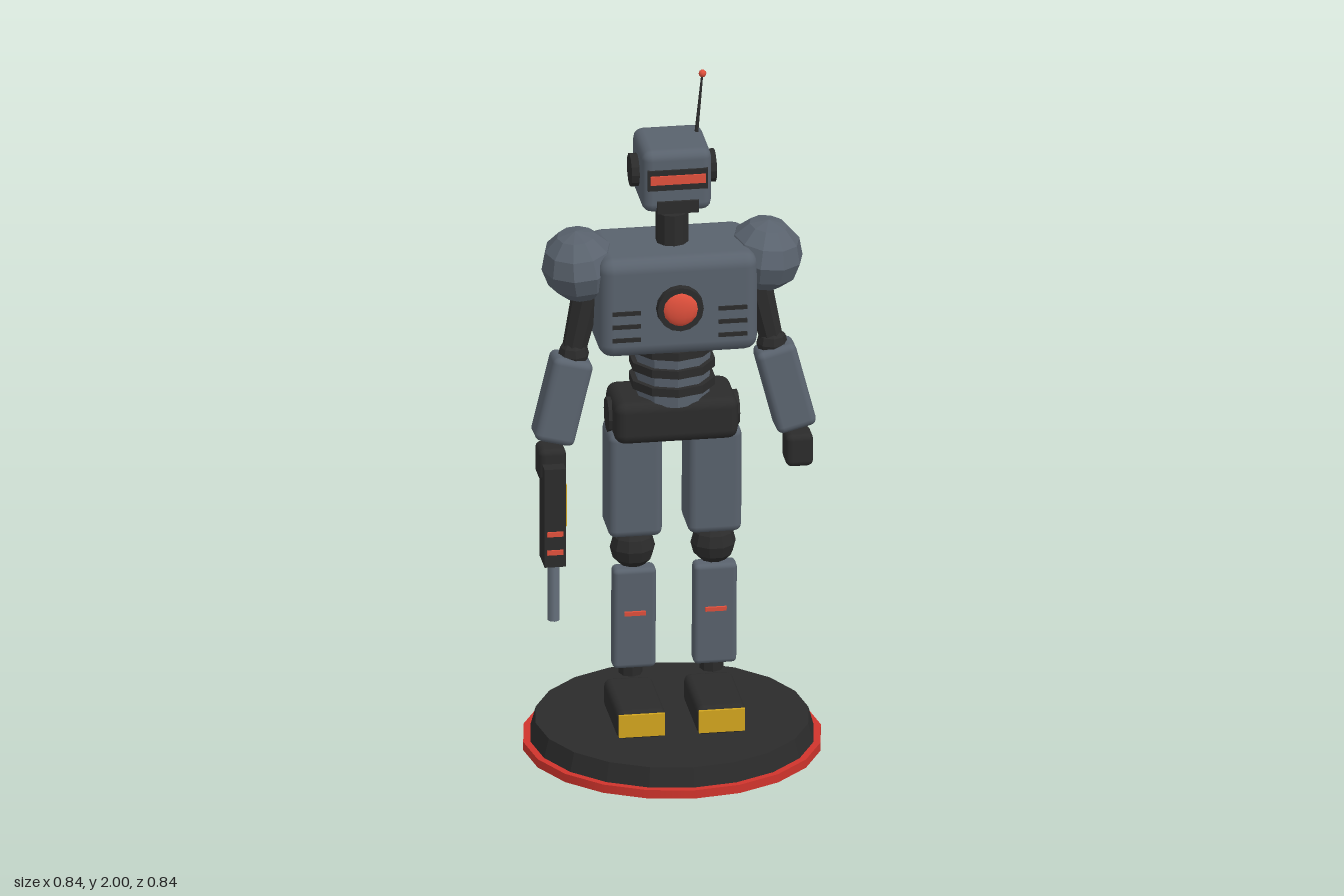
import * as THREE from 'three';
import { RoundedBoxGeometry } from 'three/addons/geometries/RoundedBoxGeometry.js';

const paint = (name, color, flatShading = false) => {
  const m = new THREE.MeshStandardMaterial({ color, flatShading });
  m.name = name;
  return m;
};

export function createModel() {
  const armour = paint('armour grey', 0x59626d);
  const armourFacet = paint('faceted armour grey', 0x59626d, true);
  const dark = paint('dark frame', 0x2b2b2b);
  const darkFacet = paint('faceted dark frame', 0x2b2b2b, true);
  const red = paint('rim red', 0xd0342c);
  const glow = paint('signal red', 0xe0503c);
  const yellow = paint('warning yellow', 0xd2a51e);
  const steel = paint('barrel steel', 0x66707c);

  const model = new THREE.Group();
  model.name = 'robot';

  const add = (name, geo, mat, x, y, z, rx = 0, rz = 0) => {
    const mesh = new THREE.Mesh(geo, mat);
    mesh.name = name;
    mesh.position.set(x, y, z);
    mesh.rotation.set(rx, 0, rz);
    model.add(mesh);
    return mesh;
  };
  const round = (w, h, d, r) => new RoundedBoxGeometry(w, h, d, 2, r);
  const box = (w, h, d) => new THREE.BoxGeometry(w, h, d);
  const cyl = (rt, rb, h, n = 10) => new THREE.CylinderGeometry(rt, rb, h, n);
  // Cylinder running between two points
  const rod = (name, a, b, r1, r2, mat, n = 8) => {
    const p = new THREE.Vector3(...a), q = new THREE.Vector3(...b);
    const dir = q.clone().sub(p);
    const mesh = add(name, cyl(r2, r1, dir.length(), n), mat, 0, 0, 0);
    mesh.position.copy(p).add(q).multiplyScalar(0.5);
    mesh.quaternion.setFromUnitVectors(new THREE.Vector3(0, 1, 0), dir.normalize());
  };

  // Display base
  add('baseRim', cyl(0.42, 0.42, 0.025, 20), red, 0, 0.0125, 0);
  add('basePlate', cyl(0.385, 0.4, 0.055, 20), darkFacet, 0, 0.0525, 0);

  // Pelvis, waist and torso
  add('pelvis', round(0.35, 0.125, 0.2, 0.03), dark, 0, 1.0025, 0);
  add('waist', cyl(0.11, 0.105, 0.2, 10), armourFacet, 0, 1.15, 0);
  for (const y of [1.1, 1.155, 1.21])
    add('waistRing', cyl(0.122, 0.122, 0.024, 10), darkFacet, 0, y, 0);
  add('torso', round(0.45, 0.295, 0.28, 0.04), armour, 0, 1.3675, 0);
  add('coreRing', cyl(0.065, 0.068, 0.03, 16), dark, 0, 1.37, 0.145, Math.PI / 2);
  add('core', new THREE.SphereGeometry(0.053, 14, 8), glow, 0, 1.37, 0.152).scale.z = 0.4;

  // Neck and head
  add('neck', cyl(0.046, 0.046, 0.13, 10), darkFacet, 0, 1.54, 0);
  add('head', round(0.196, 0.185, 0.21, 0.028), armour, 0, 1.7325, 0);
  add('visorFrame', box(0.17, 0.06, 0.012), dark, 0, 1.742, 0.105);
  add('visorStrip', box(0.156, 0.026, 0.008), glow, 0, 1.744, 0.112);
  add('jaw', box(0.118, 0.036, 0.03), dark, 0, 1.66, 0.098);
  rod('antenna', [0.073, 1.81, -0.034], [0.094, 1.985, -0.057], 0.006, 0.003, dark, 6);
  add('antennaTip', new THREE.SphereGeometry(0.011, 8, 6), glow, 0.095, 1.989, -0.058);

  // Mirrored parts
  for (const s of [1, -1]) {
    add('ear', cyl(0.047, 0.047, 0.04, 12), darkFacet, s * 0.1, 1.735, 0, 0, Math.PI / 2);
    for (const y of [1.36, 1.32, 1.28])
      add('vent', box(0.08, 0.012, 0.009), dark, s * 0.15, y, 0.14);

    // Arms
    add('shoulder', new THREE.SphereGeometry(1, 10, 6), armourFacet, s * 0.263, 1.46, 0, 0, -s * 0.1)
      .scale.set(0.106, 0.1, 0.136);
    rod('upperArm', [s * 0.23, 1.42, 0], [s * 0.28, 1.2, 0.01], 0.045, 0.034, darkFacet);
    add('elbow', new THREE.SphereGeometry(0.044, 8, 6), darkFacet, s * 0.28, 1.195, 0.012);
    add('forearm', round(0.115, 0.25, 0.105, 0.02), armour, s * 0.314, 1.068, 0.022, -0.07, s * 0.25);
    add('hand', round(0.078, 0.097, 0.09, 0.018), dark, s * 0.349, 0.888, 0.04);

    // Legs
    add('hipJoint', cyl(0.05, 0.05, 0.04, 10), darkFacet, s * 0.165, 1.0, 0, 0, Math.PI / 2);
    add('thigh', round(0.152, 0.315, 0.148, 0.022), armour, s * 0.112, 0.807, -0.002, 0.02);
    add('knee', new THREE.SphereGeometry(0.064, 10, 6), darkFacet, s * 0.114, 0.605, 0.013);
    rod('calf', [s * 0.114, 0.21, -0.02], [s * 0.114, 0.575, 0], 0.034, 0.03, darkFacet);
    add('shinPlate', round(0.122, 0.305, 0.055, 0.014), armour, s * 0.114, 0.402, 0.033, 0.04);
    add('shinStripe', box(0.06, 0.012, 0.008), glow, s * 0.114, 0.42, 0.064, 0.04);
    add('foot', round(0.138, 0.086, 0.26, 0.02), dark, s * 0.113, 0.128, 0.046);
    add('toePlate', box(0.13, 0.066, 0.009), yellow, s * 0.113, 0.13, 0.18);
  }

  // Hand-held blaster, pointing down
  const gx = -0.349;
  add('blasterBody', box(0.06, 0.295, 0.09), dark, gx, 0.7475, 0.08);
  add('blasterPanel', box(0.006, 0.125, 0.06), yellow, gx + 0.032, 0.778, 0.08);
  for (const y of [0.7, 0.645])
    add('blasterStripe', box(0.046, 0.014, 0.006), glow, gx, y, 0.127);
  add('blasterBarrel', cyl(0.017, 0.017, 0.18, 8), steel, gx, 0.52, 0.096);

  return model;
}
